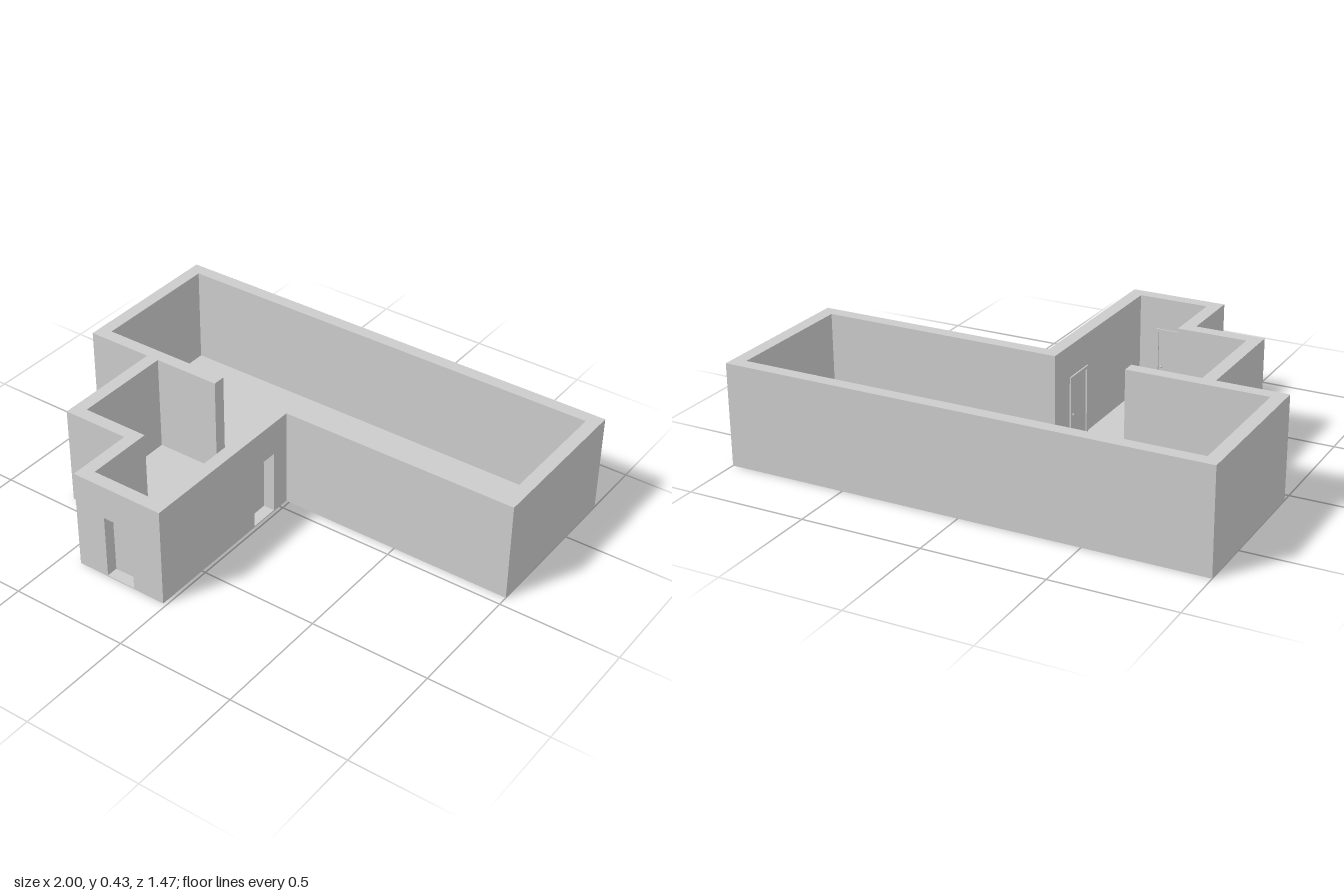
import * as THREE from 'three';

const HEIGHT = 0.425, FLOOR = 0.005, WALL = 0.055;
const DOOR_W = 0.128, DOOR_H = 0.28;

const material = new THREE.MeshStandardMaterial({ color: 0xcccccc, flatShading: true });

function add(parent, name, geometry, x = 0, y = 0, z = 0) {
  const mesh = new THREE.Mesh(geometry, material);
  mesh.name = name;
  mesh.position.set(x, y, z);
  parent.add(mesh);
  return mesh;
}

// Raises a floor-plan outline of [x, z] points to a given height
function raise(points, depth) {
  const shape = new THREE.Shape(points.map(([x, z]) => new THREE.Vector2(x, -z)));
  return new THREE.ExtrudeGeometry(shape, { depth, bevelEnabled: false }).rotateX(-Math.PI / 2);
}

// Lintel, leaf, casing and knob; local z = 0 is the inner wall face, +z the room
function makeDoorway(name) {
  const door = new THREE.Group();
  door.name = name;
  const lintelH = HEIGHT - DOOR_H;
  add(door, 'lintel', new THREE.BoxGeometry(DOOR_W, lintelH, WALL), 0, DOOR_H + lintelH / 2, -WALL / 2);
  add(door, 'doorLeaf', new THREE.BoxGeometry(DOOR_W, DOOR_H - FLOOR, 0.006), 0, (DOOR_H + FLOOR) / 2, -0.003);

  const w = DOOR_W / 2, c = 0.012;
  const casing = new THREE.Shape([
    [-w - c, FLOOR], [-w, FLOOR], [-w, DOOR_H], [w, DOOR_H], [w, FLOOR], [w + c, FLOOR],
    [w + c, DOOR_H + c], [-w - c, DOOR_H + c],
  ].map(([x, y]) => new THREE.Vector2(x, y)));
  add(door, 'doorCasing', new THREE.ExtrudeGeometry(casing, { depth: 0.006, bevelEnabled: false }));
  add(door, 'doorKnob', new THREE.SphereGeometry(0.005, 10, 8), -w + 0.014, 0.125, 0.003);
  return door;
}

export function createModel() {
  const model = new THREE.Group();
  model.name = 'roofless house';

  // Floor slab under the whole plan
  add(model, 'floor', raise([
    [-1, -0.735], [1, -0.735], [1, -0.045], [-0.015, -0.045], [-0.015, 0.735],
    [-0.42, 0.735], [-0.42, 0.445], [-0.71, 0.445], [-0.71, -0.045], [-1, -0.045],
  ], FLOOR));

  // Long run of wall, from the side door around the hall to the front door
  add(model, 'mainWalls', raise([
    [-0.015, 0.038], [-0.015, -0.045], [1, -0.045], [1, -0.735], [-1, -0.735], [-1, -0.045],
    [-0.71, -0.045], [-0.71, 0.445], [-0.42, 0.445], [-0.42, 0.735], [-0.284, 0.735],
    [-0.284, 0.68], [-0.365, 0.68], [-0.365, 0.39], [-0.655, 0.39], [-0.655, -0.045],
    [-0.365, -0.045], [-0.365, -0.1], [-0.945, -0.1], [-0.945, -0.68], [0.945, -0.68],
    [0.945, -0.1], [-0.07, -0.1], [-0.07, 0.038],
  ], HEIGHT - FLOOR), 0, FLOOR);

  // Corner of wall between the two doors
  add(model, 'cornerWall', raise([
    [-0.015, 0.166], [-0.07, 0.166], [-0.07, 0.68], [-0.156, 0.68], [-0.156, 0.735], [-0.015, 0.735],
  ], HEIGHT - FLOOR), 0, FLOOR);

  // Doors open into the wing
  const front = makeDoorway('frontDoor');
  front.position.set(-0.22, 0, 0.68);
  front.rotation.y = Math.PI;
  const side = makeDoorway('sideDoor');
  side.position.set(-0.07, 0, 0.102);
  side.rotation.y = -Math.PI / 2;
  model.add(front, side);

  return model;
}
